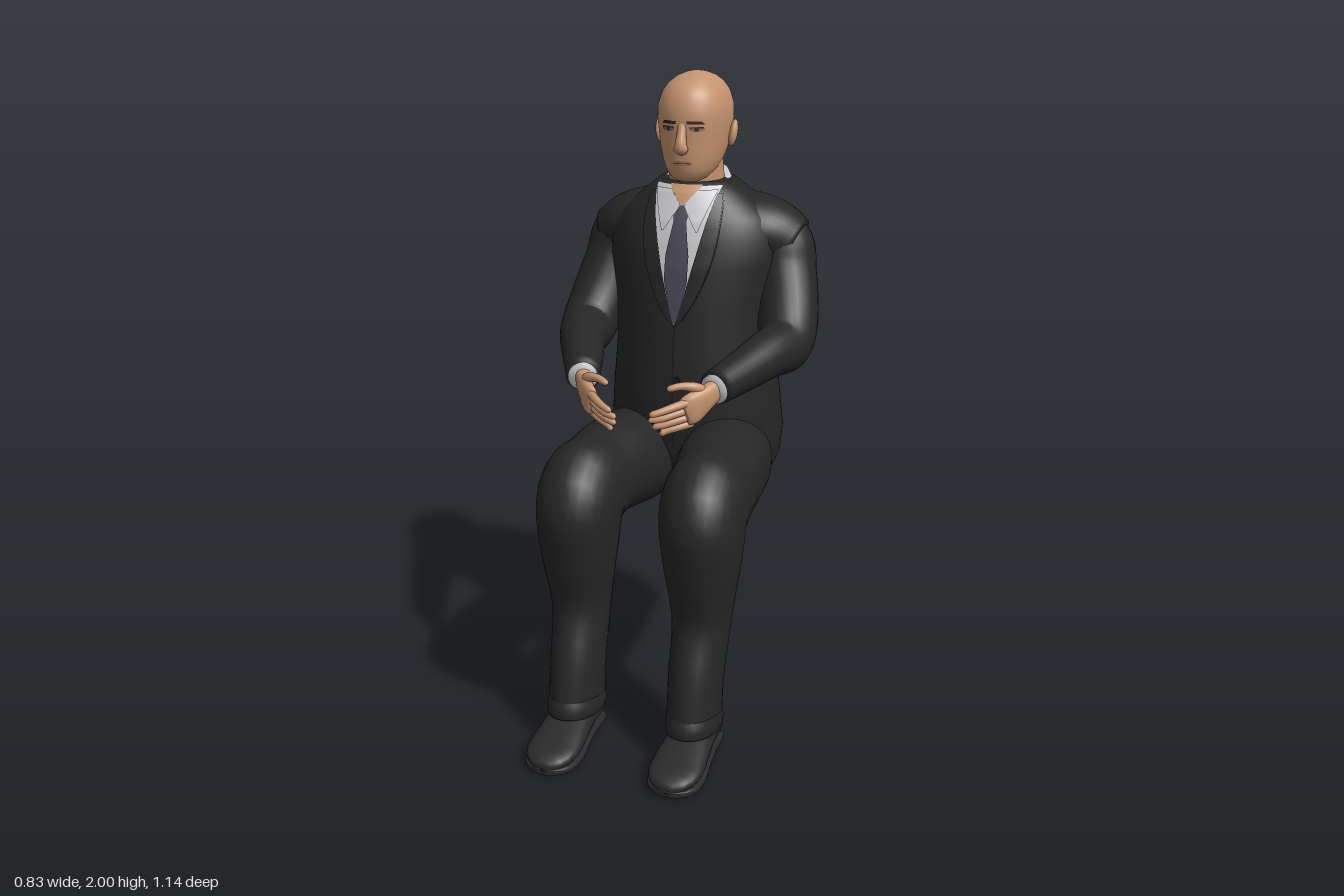
import * as THREE from 'three';

const mat = (name, color, side = THREE.FrontSide) => {
  const m = new THREE.MeshStandardMaterial({ color, side });
  m.name = name;
  return m;
};
const M = {
  suit: mat('suit black', 0x262627),
  seam: mat('seam black', 0x1b1b1c),
  shoe: mat('shoe leather', 0x2a2a2c),
  skin: mat('skin', 0xc4936f),
  lip: mat('lip', 0xab7a62),
  brow: mat('brow', 0x3a2a24),
  eye: mat('eye shade', 0x8f7162),
  shirt: mat('shirt', 0xc9cacd, THREE.DoubleSide),
  tie: mat('tie', 0x4b4858),
};
const V = (x, y, z) => new THREE.Vector3(x, y, z);

// Skins a list of rings { c, a, b, n, m }: centre, half axes, superellipse power on the -b and +b sides
function loft(rings, seg = 32) {
  const pos = [], idx = [];
  const bend = (v, n) => Math.sign(v) * Math.abs(v) ** (2 / n);
  for (const { c, a, b, n = 2, m = n } of rings) {
    for (let j = 0; j < seg; j++) {
      const t = (j / seg) * Math.PI * 2, k = t < Math.PI ? m : n;
      const p = c.clone().addScaledVector(a, bend(Math.cos(t), k)).addScaledVector(b, bend(Math.sin(t), k));
      pos.push(p.x, p.y, p.z);
    }
  }
  const last = rings.length - 1, s = rings.length * seg;
  for (const r of [rings[0], rings[last]]) pos.push(r.c.x, r.c.y, r.c.z);
  for (let j = 0; j < seg; j++) {
    const k = (j + 1) % seg;
    for (let i = 0; i < last; i++) {
      const p = i * seg, q = p + seg;
      idx.push(p + j, p + k, q + j, p + k, q + k, q + j);
    }
    idx.push(s, k, j, s + 1, last * seg + j, last * seg + k);
  }
  return finish(pos, idx);
}
function finish(pos, idx) {
  const g = new THREE.BufferGeometry();
  g.setAttribute('position', new THREE.Float32BufferAttribute(pos, 3));
  g.setIndex(idx);
  g.computeVertexNormals();
  return g;
}

// Limb along a smooth path; points are [x, y, z, ra, rb], ra lies along ref
function limb(pts, ref, s = 1, steps = 28, seg = 24, n = 2) {
  const path = new THREE.CatmullRomCurve3(pts.map(p => V(p[0] * s, p[1], p[2])), false, 'catmullrom');
  const size = new THREE.CatmullRomCurve3(pts.map(p => V(p[3], p[4] ?? p[3], 0)), false, 'catmullrom');
  const rings = [];
  for (let i = 0; i <= steps; i++) {
    const t = path.getTangent(i / steps), r = size.getPoint(i / steps);
    const a = V(ref[0] * s, ref[1], ref[2]);
    a.addScaledVector(t, -a.dot(t)).normalize();
    const b = t.clone().cross(a);
    rings.push({ c: path.getPoint(i / steps), a: a.multiplyScalar(r.x), b: b.multiplyScalar(r.y), n });
  }
  return loft(rings, seg);
}

// Upright body from rows [y, half width, front z, back z], with front and back powers
const body = (rows, n, m) => loft(rows.map(([y, w, f, k]) =>
  ({ c: V(0, y, (f + k) / 2), a: V(w, 0, 0), b: V(0, 0, -(f - k) / 2), n, m })), 64);

// Thin panel lying on the front (dir 1) or back (dir -1) of such a body
function panel(rows, n, y0, y1, left, right, off = 0.004, dir = 1, nr = 24, nc = 8) {
  const pos = [], idx = [];
  for (let i = 0; i <= nr; i++) {
    const y = y0 + (y1 - y0) * i / nr;
    let k = 0;
    while (k < rows.length - 2 && rows[k + 1][0] < y) k++;
    const u = (y - rows[k][0]) / (rows[k + 1][0] - rows[k][0]);
    const [, w, f, b] = rows[k].map((v, q) => v + (rows[k + 1][q] - v) * u);
    for (let j = 0; j <= nc; j++) {
      const x = (left(y) + (right(y) - left(y)) * j / nc) * dir;
      const d = Math.max(0, 1 - Math.abs(x / w) ** n) ** (1 / n);
      pos.push(x, y, (f + b) / 2 + dir * ((f - b) / 2 * d + off));
      if (i < nr && j < nc) {
        const p = i * (nc + 1) + j, q = p + nc + 1;
        idx.push(p, q, p + 1, q, q + 1, p + 1);
      }
    }
  }
  return finish(pos, idx);
}

const TORSO = [
  [0.612, 0.1, -0.33, -0.46], [0.63, 0.165, -0.25, -0.505], [0.68, 0.235, -0.16, -0.537], [0.76, 0.27, -0.11, -0.56],
  [0.85, 0.28, -0.08, -0.567], [1.0, 0.267, -0.07, -0.548], [1.15, 0.255, -0.08, -0.545], [1.3, 0.262, -0.095, -0.55],
  [1.42, 0.28, -0.11, -0.545], [1.5, 0.28, -0.13, -0.53], [1.56, 0.25, -0.15, -0.505], [1.6, 0.205, -0.17, -0.48],
  [1.64, 0.155, -0.19, -0.445], [1.67, 0.118, -0.215, -0.42]];
const HEAD = [
  [1.672, 0.035, -0.195, -0.27], [1.685, 0.058, -0.178, -0.31], [1.71, 0.079, -0.166, -0.36], [1.74, 0.092, -0.161, -0.4],
  [1.78, 0.103, -0.158, -0.43], [1.82, 0.11, -0.158, -0.445], [1.86, 0.114, -0.152, -0.45], [1.9, 0.113, -0.154, -0.448],
  [1.94, 0.1, -0.17, -0.435], [1.965, 0.082, -0.193, -0.413], [1.985, 0.056, -0.23, -0.38], [1.996, 0.028, -0.265, -0.34],
  [2.0, 0.006, -0.295, -0.31]];
const TN = 2, HN = 2.1;

export function createModel() {
  const root = new THREE.Group();
  root.name = 'seatedMan';
  const add = (name, geo, m) => {
    const mesh = new THREE.Mesh(geo, m);
    mesh.name = name;
    root.add(mesh);
    return mesh;
  };

  // Jacket with a sloping shoulder yoke, shirt front and tie
  add('jacket', body(TORSO, TN, 2.7), M.suit);
  add('shoulderYoke', limb([[-0.31, 1.455, -0.37, 0.09, 0.095], [-0.2, 1.5, -0.37, 0.115, 0.145], [0, 1.51, -0.36, 0.13, 0.165],
    [0.2, 1.5, -0.37, 0.115, 0.145], [0.31, 1.455, -0.37, 0.09, 0.095]], [0, 1, 0], 1, 32, 32), M.suit);
  const vee = y => 0.105 * Math.max(0, (y - 1.24) / 0.42) ** 0.85;
  add('shirtFront', panel(TORSO, TN, 1.66, 1.24, y => -vee(y), vee), M.shirt);
  const throat = y => 0.055 * (y - 1.6) / 0.065;
  add('throat', panel(TORSO, TN, 1.665, 1.6, y => -throat(y), throat, 0.008), M.skin);
  const tieW = y => Math.min(vee(y) * 0.9, y > 1.56 ? 0.02 + (y - 1.56) * 0.25 : Math.min(0.037, 0.02 + (1.56 - y) * 0.17));
  add('tie', panel(TORSO, TN, 1.605, 1.25, y => -tieW(y), tieW, 0.009), M.tie);
  add('frontSeam', panel(TORSO, TN, 1.24, 0.85, () => -0.003, () => 0.003, 0.003), M.seam);
  add('backVent', panel(TORSO, TN, 0.9, 0.63, () => -0.004, () => 0.004, 0.003, -1), M.seam);
  const button = add('button', new THREE.CylinderGeometry(0.011, 0.011, 0.008, 16), M.seam);
  button.rotation.x = Math.PI / 2;
  button.position.set(0.012, 1.07, -0.073);

  // Shirt collar, higher at the back
  const collar = (y, w, d, slope) => ({ c: V(0, y, -0.318), a: V(w, 0, 0), b: V(0, d * slope, -d) });
  add('collar', loft([collar(1.6, 0.12, 0.118, 0.25), collar(1.65, 0.113, 0.112, 0.3),
    collar(1.672, 0.101, 0.104, 0.34), collar(1.662, 0.085, 0.09, 0.34)], 40), M.shirt);

  // Head and face
  add('neck', limb([[0, 1.58, -0.325, 0.087, 0.09], [0, 1.66, -0.312, 0.087, 0.096], [0, 1.76, -0.3, 0.082, 0.1]], [1, 0, 0], 1, 8), M.skin);
  add('head', body(HEAD, HN), M.skin);
  add('nose', limb([[0, 1.86, -0.166, 0.016, 0.01], [0, 1.83, -0.157, 0.014, 0.014], [0, 1.795, -0.147, 0.018, 0.018],
    [0, 1.777, -0.149, 0.023, 0.018], [0, 1.766, -0.16, 0.012, 0.008]], [1, 0, 0], 1, 16, 16), M.skin);
  const mouth = y => 0.031 * Math.sqrt(Math.max(0, 1 - ((y - 1.733) / 0.009) ** 2));
  add('lips', panel(HEAD, HN, 1.742, 1.724, y => -mouth(y), mouth, 0.003), M.lip);
  add('mouthLine', panel(HEAD, HN, 1.7345, 1.7325, () => -0.027, () => 0.027, 0.0045), M.brow);

  for (const s of [1, -1]) {
    const side = s > 0 ? 'left' : 'right';
    // Mirrored panel between inner and outer distances from the middle
    const pair = (name, rows, n, y0, y1, inner, outer, off, m) => add(side + name, panel(rows, n, y0, y1,
      y => (s > 0 ? inner(y) : -outer(y)), y => (s > 0 ? outer(y) : -inner(y)), off), m);

    const lapel = y => vee(y) + 0.05 * Math.sin(Math.PI * (y - 1.24) / 0.42) ** 0.7;
    pair('Lapel', TORSO, TN, 1.64, 1.24, y => vee(y) - 0.002, lapel, 0.009, M.suit);
    pair('LapelEdge', TORSO, TN, 1.62, 1.26, lapel, y => lapel(y) + 0.003, 0.006, M.seam);
    pair('CollarFlap', TORSO, TN, 1.65, 1.53, y => Math.max(throat(y), 0.01 + (1.6 - y) * 0.6),
      y => 0.1 - (1.65 - y) * 0.35, 0.0095, M.shirt);

    // Face details and ear
    pair('Brow', HEAD, HN, 1.862, 1.853, y => 0.016 + (1.862 - y) * 0.3, y => 0.068 - (y - 1.853), 0.004, M.brow);
    const lid = y => 0.022 * Math.sqrt(Math.max(0, 1 - ((y - 1.838) / 0.008) ** 2));
    pair('Eye', HEAD, HN, 1.846, 1.83, y => 0.045 - lid(y), y => 0.045 + lid(y), 0.003, M.eye);
    pair('Iris', HEAD, HN, 1.842, 1.832, () => 0.04, () => 0.05, 0.0045, M.brow);
    pair('EyeLine', HEAD, HN, 1.845, 1.841, () => 0.025, () => 0.065, 0.005, M.brow);
    const ear = add(side + 'Ear', new THREE.SphereGeometry(1, 20, 14), M.skin);
    ear.scale.set(0.014, 0.042, 0.025);
    ear.position.set(0.117 * s, 1.812, -0.312);
    ear.rotation.set(-0.2, 0.3 * s, -0.12 * s);

    // Sleeve from shoulder over the bent elbow to the wrist
    add(side + 'Sleeve', limb([[0.17, 1.525, -0.365, 0.085], [0.256, 1.468, -0.368, 0.105], [0.285, 1.38, -0.34, 0.1],
      [0.315, 1.26, -0.27, 0.096], [0.325, 1.19, -0.19, 0.088], [0.3, 1.18, -0.08, 0.074],
      [0.25, 1.155, 0.05, 0.062], [0.207, 1.135, 0.16, 0.052]], [1, 0.3, 0.5], s, 36), M.suit);
    add(side + 'Cuff', limb([[0.215, 1.137, 0.14, 0.044], [0.205, 1.131, 0.168, 0.045]], [0, 1, 0], s, 2), M.shirt);

    // Hand: palm, four fingers and thumb
    add(side + 'Palm', limb([[0.21, 1.133, 0.15, 0.03, 0.026], [0.19, 1.115, 0.19, 0.038, 0.024],
      [0.163, 1.092, 0.23, 0.048, 0.02], [0.142, 1.08, 0.25, 0.042, 0.014]], [0, 1, 0], s, 12, 20, 2.4), M.skin);
    for (let i = 0; i < 4; i++) {
      const y = 1.112 - i * 0.024, z = 0.252 - i * 0.008, tip = [0.058, 0.05, 0.056, 0.072][i];
      add(side + 'Finger' + (i + 1), limb([[0.155, y, z - 0.012, 0.013], [0.12, y - 0.008, z + 0.03 - i * 0.004, 0.0125],
        [0.088, y - 0.018, z + 0.056 - i * 0.007, 0.011], [tip + 0.008, y - 0.024, z + 0.067 - i * 0.009, 0.0095],
        [tip, y - 0.025, z + 0.068 - i * 0.009, 0.003]], [0, 1, 0], s, 16, 12), M.skin);
    }
    add(side + 'Thumb', limb([[0.192, 1.125, 0.185, 0.018], [0.165, 1.149, 0.218, 0.016], [0.13, 1.156, 0.24, 0.012],
      [0.1, 1.15, 0.255, 0.01], [0.091, 1.148, 0.259, 0.003]], [0, 1, 0], s, 14, 12), M.skin);

    // Trouser leg: thigh forward, knee, shin down
    add(side + 'TrouserLeg', limb([[0.125, 0.765, -0.36, 0.12, 0.13], [0.148, 0.783, -0.18, 0.145, 0.155],
      [0.172, 0.797, -0.02, 0.142, 0.153], [0.187, 0.795, 0.1, 0.135, 0.142], [0.195, 0.765, 0.222, 0.13, 0.165],
      [0.197, 0.62, 0.237, 0.117, 0.14], [0.195, 0.43, 0.232, 0.09, 0.107], [0.192, 0.25, 0.277, 0.082, 0.113],
      [0.192, 0.1, 0.295, 0.08, 0.125]], [1, 0, 0], s, 48, 32, 2.05), M.suit);
    add(side + 'TrouserHem', limb([[0.192, 0.15, 0.29, 0.08, 0.118], [0.192, 0.118, 0.294, 0.084, 0.128],
      [0.192, 0.095, 0.296, 0.081, 0.127]], [1, 0, 0], s, 8, 32, 2.1), M.suit);

    // Shoe: upper, sole and heel
    const shoe = [[0.178, 0.045, 0.09], [0.195, 0.06, 0.115], [0.3, 0.066, 0.125], [0.38, 0.074, 0.108],
      [0.45, 0.081, 0.083], [0.5, 0.08, 0.07], [0.532, 0.07, 0.062], [0.553, 0.054, 0.053], [0.566, 0.034, 0.044], [0.571, 0.014, 0.035]];
    add(side + 'Shoe', loft(shoe.map(([z, w, h]) =>
      ({ c: V(0.195 * s, (h + 0.015) / 2, z), a: V(w, 0, 0), b: V(0, (h - 0.015) / 2, 0), n: 2.4 }))), M.shoe);
    add(side + 'Sole', loft(shoe.map(([z, w]) => {
      const y = z > 0.29 && z < 0.4 ? 0.022 : 0.013;
      return { c: V(0.195 * s, y, z), a: V(w + 0.004, 0, 0), b: V(0, 0.011, 0), n: 5 };
    })), M.shoe);
    const heel = add(side + 'Heel', new THREE.CylinderGeometry(0.062, 0.06, 0.025, 24), M.shoe);
    heel.position.set(0.195 * s, 0.0125, 0.242);
  }
  return root;
}
